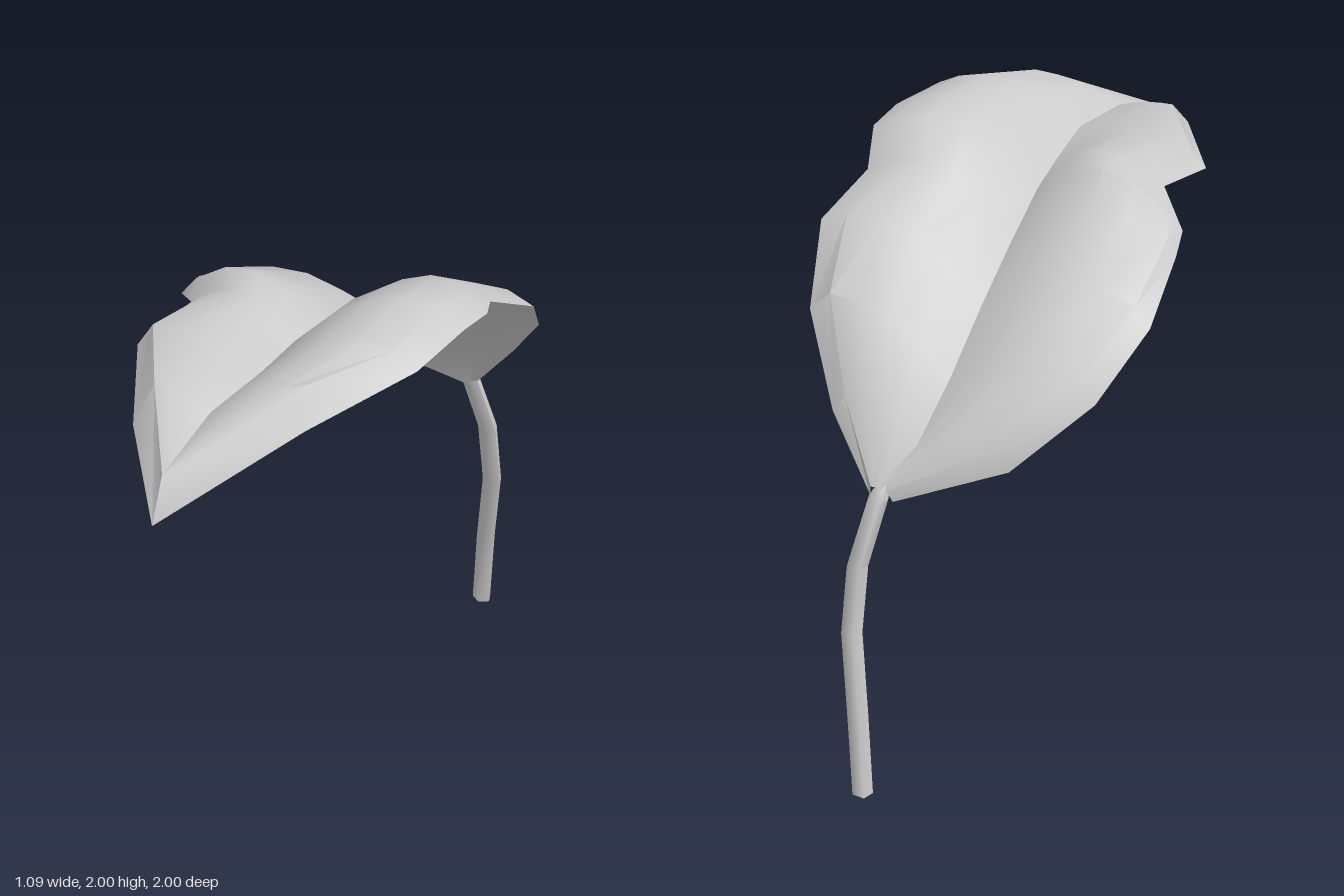
import * as THREE from 'three';
import { toCreasedNormals } from 'three/addons/utils/BufferGeometryUtils.js';

const V = (x, y, z) => new THREE.Vector3(x, y, z);
const material = new THREE.MeshStandardMaterial({ color: 0xcccccc });

// Closed skin over equal-length rings of points; edges sharper than crease stay sharp.
function loft(name, rings, crease) {
  const n = rings[0].length, index = [];
  for (let i = 0; i < rings.length - 1; i++) {
    for (let j = 0; j < n; j++) {
      const a = i * n + j, b = i * n + (j + 1) % n;
      index.push(a, a + n, b, b, a + n, b + n);
    }
  }
  const geometry = new THREE.BufferGeometry().setFromPoints(rings.flat());
  geometry.setIndex(index);
  const mesh = new THREE.Mesh(toCreasedNormals(geometry, crease), material);
  mesh.name = name;
  return mesh;
}

// Blade stations from stem to tip: [outer edge, inset top edge] on each side.
const rightSide = [ // the -x side
  [V(0.06, 1.09, -0.8), V(0.075, 1.13, -0.81)],
  [V(-0.27, 1.22, -0.66), V(-0.23, 1.29, -0.665)],
  [V(-0.47, 1.42, -0.48), V(-0.41, 1.48, -0.47)],
  [V(-0.545, 1.59, -0.26), V(-0.49, 1.65, -0.25)],
  [V(-0.51, 1.7, 0), V(-0.48, 1.76, 0)],
  [V(-0.49, 1.74, 0.09), V(-0.445, 1.8, 0.07)],
  [V(-0.37, 1.81, 0.21), V(-0.3, 1.86, 0.18)],
  [V(-0.41, 1.77, 0.45), V(-0.37, 1.84, 0.42)],
  [V(-0.2, 1.74, 0.78), V(-0.18, 1.84, 0.69)],
  [V(0.01, 1.59, 1), V(-0.01, 1.71, 0.91)],
];
const leftSide = [ // the +x side
  [V(0.135, 1.1, -0.81), V(0.125, 1.14, -0.82)],
  [V(0.3, 1.32, -0.74), V(0.26, 1.38, -0.73)],
  [V(0.46, 1.56, -0.59), V(0.39, 1.63, -0.58)],
  [V(0.53, 1.76, -0.39), V(0.44, 1.8, -0.38)],
  [V(0.47, 1.86, -0.2), V(0.37, 1.91, -0.18)],
  [V(0.54, 1.925, -0.04), V(0.46, 1.965, -0.05)],
  [V(0.535, 1.94, 0.1), V(0.45, 1.985, 0.09)],
  [V(0.51, 1.92, 0.34), V(0.43, 1.965, 0.33)],
  [V(0.32, 1.83, 0.66), V(0.27, 1.92, 0.57)],
  [V(0.01, 1.59, 1), V(-0.01, 1.71, 0.91)],
];
const midrib = [
  V(0.1, 1.14, -0.815), V(0.02, 1.26, -0.71), V(0, 1.4, -0.54), V(-0.01, 1.57, -0.34), V(0, 1.685, -0.12),
  V(0.01, 1.775, 0.08), V(0.02, 1.8, 0.22), V(0.04, 1.82, 0.44), V(0.01, 1.8, 0.68), V(-0.01, 1.71, 0.91),
];
// How far each half of the blade arches above the straight line from rib to edge.
const rightBulge = [0, 0.04, 0.06, 0.08, 0.1, 0.11, 0.06, 0.035, 0.01, 0];
const leftBulge = [0, 0.04, 0.06, 0.07, 0.08, 0.09, 0.085, 0.07, 0.02, 0];

// Inner points of a parabolic arch from a to b
function arch(a, b, lift) {
  return [0.25, 0.5, 0.75].map((t) => {
    const p = a.clone().lerp(b, t);
    p.y += lift * 4 * t * (1 - t);
    return p;
  });
}

// Leaf blade: each ring runs over the top from -x to +x and back underneath
function createBlade() {
  const last = midrib.length - 1;
  const rings = midrib.map((rib, i) => {
    const [ro, ri] = rightSide[i], [lo, li] = leftSide[i];
    const low = i === last ? ro : V(Math.max(rib.x, 0.04), rib.y - (i ? 0.08 : 0.05), rib.z + 0.025);
    return [
      ro, ri, ...arch(ri, rib, rightBulge[i]), rib, ...arch(rib, li, leftBulge[i]), li,
      lo, ...arch(lo, low, 0.85 * leftBulge[i]), low, ...arch(low, ro, 0.85 * rightBulge[i]),
    ];
  });
  return loft('leafBlade', rings, 0.6);
}

// Slender stem bending up into the blade, with its ends closed by collapsed rings
function createStem() {
  const path = [
    V(0.119, 0, -0.971), V(0.133, 0.32, -0.953), V(0.167, 0.62, -0.909),
    V(0.152, 0.87, -0.879), V(0.105, 1.1, -0.817), V(0.09, 1.15, -0.79),
  ];
  const radii = [0.037, 0.037, 0.037, 0.037, 0.035, 0.02];
  const sides = 5;
  const rings = path.map((p, i) => Array.from({ length: sides }, (_, k) => {
    const a = 0.3 + k * 2 * Math.PI / sides;
    return V(p.x + radii[i] * Math.cos(a), p.y, p.z + 0.88 * radii[i] * Math.sin(a));
  }));
  const cap = (p) => Array(sides).fill(p);
  return loft('stem', [cap(path[0]), ...rings, cap(path[5])], 1.35);
}

export function createModel() {
  const group = new THREE.Group();
  group.name = 'leaf';
  group.add(createBlade(), createStem());
  return group;
}
